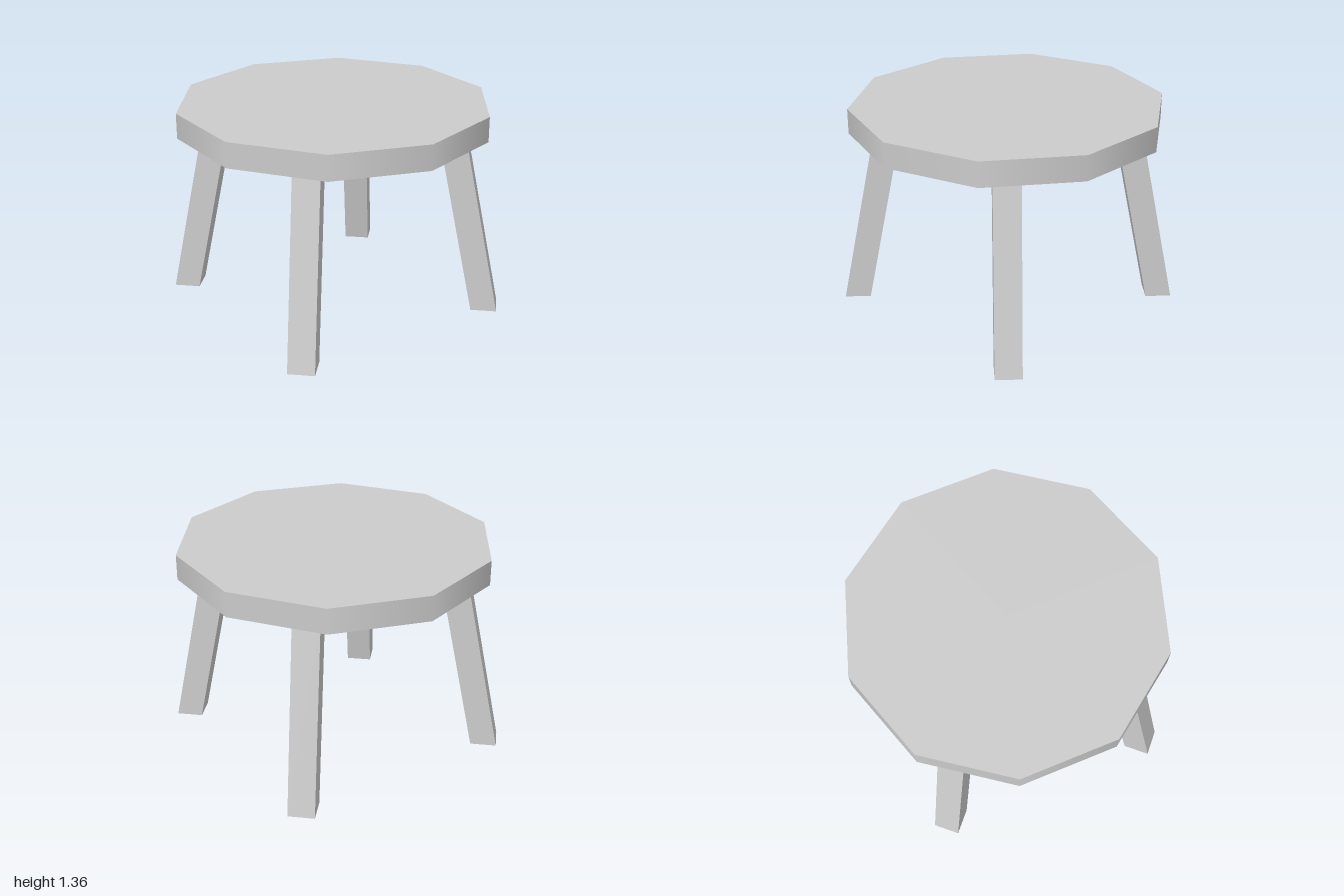
import * as THREE from 'three';

const SEAT_BOTTOM = 1.195, SEAT_TOP = 1.355;

// Square post whose level cross-section slides outwards towards the floor
function legGeometry() {
  const geo = new THREE.BoxGeometry(0.167, SEAT_BOTTOM, 0.167);
  geo.rotateY(THREE.MathUtils.degToRad(48));
  geo.translate(0, SEAT_BOTTOM / 2, 0);
  const pos = geo.attributes.position;
  for (let i = 0; i < pos.count; i++) {
    const t = pos.getY(i) / SEAT_BOTTOM;
    pos.setX(i, pos.getX(i) + THREE.MathUtils.lerp(0.717, 0.535, t));
    pos.setZ(i, pos.getZ(i) + THREE.MathUtils.lerp(0.704, 0.537, t));
  }
  geo.computeVertexNormals();
  return geo;
}

export function createModel() {
  const model = new THREE.Group();
  model.name = 'stool';
  const material = new THREE.MeshStandardMaterial({ color: 0xcccccc });

  // Ten-sided seat with a smoothly shaded rim
  const height = SEAT_TOP - SEAT_BOTTOM;
  const seat = new THREE.Mesh(new THREE.CylinderGeometry(1, 1, height, 10), material);
  seat.name = 'seat';
  seat.position.y = SEAT_BOTTOM + height / 2;
  model.add(seat);

  // Four splayed legs, each a quarter turn from the last
  const geo = legGeometry();
  ['frontLeftLeg', 'backLeftLeg', 'backRightLeg', 'frontRightLeg'].forEach((name, i) => {
    const leg = new THREE.Mesh(geo, material);
    leg.name = name;
    leg.rotation.y = i * Math.PI / 2;
    model.add(leg);
  });
  return model;
}
